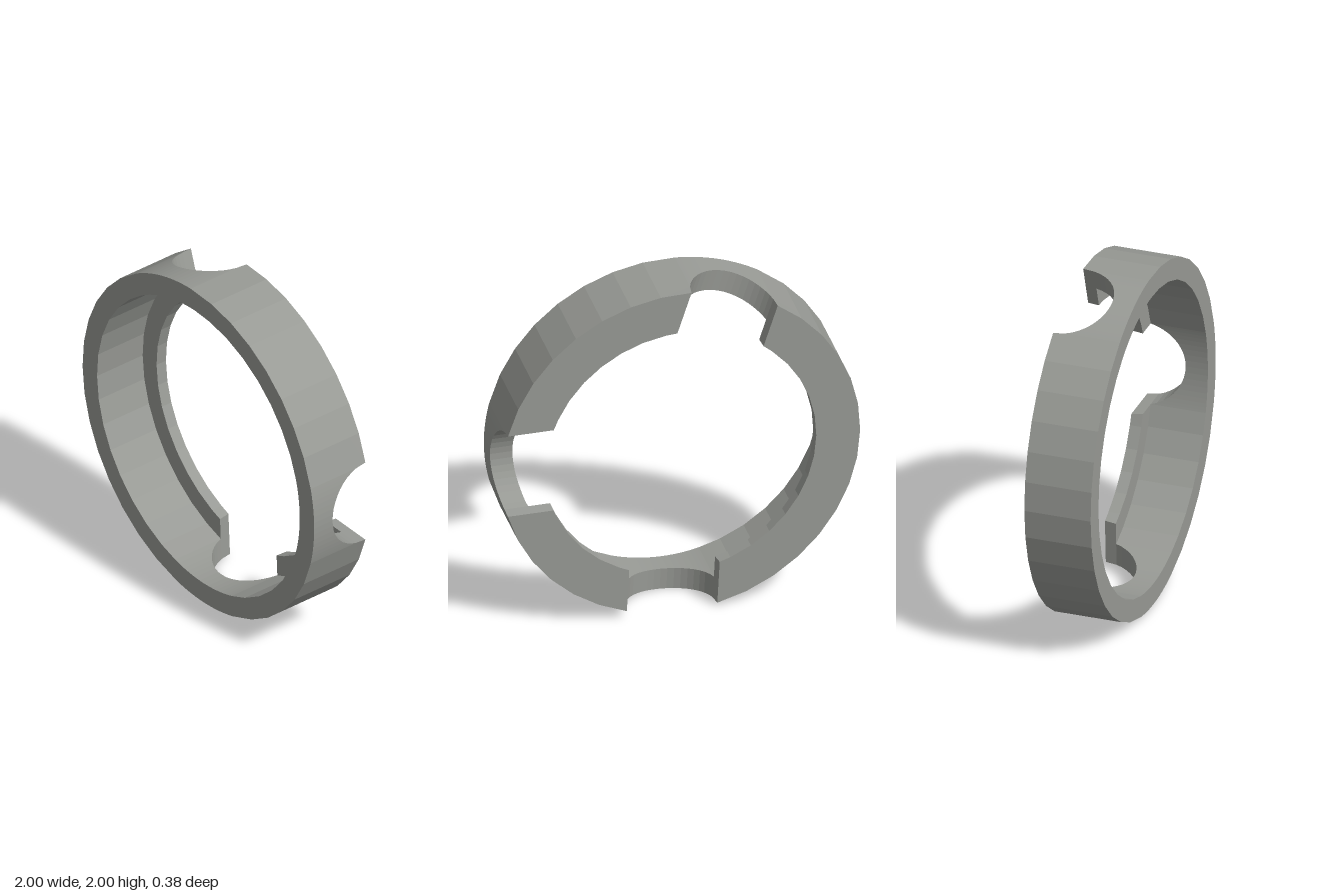
import * as THREE from 'three';

const OUTER = 1, BORE = 0.875, LIP = 0.755;        // radii
const FRONT = 0.19, STEP = -0.125, BACK = -0.19;   // depths along z
const NOTCH_R = 0.253;
const NOTCH_EDGE = Math.sqrt(NOTCH_R ** 2 - (STEP - BACK) ** 2); // half width at the step
const NOTCHES = [0, 108, 273].map(THREE.MathUtils.degToRad);

// Point on the ring at a radius, angle and depth
const polar = (r, angle, z) => [r * Math.cos(angle), r * Math.sin(angle) + 1, z];
// Point beside a notch axis, at sideways offset t
const beside = (r, axis, t, z) => polar(r, axis + Math.asin(t / r), z);

function addQuad(out, a, b, c, d) {
  out.push(...a, ...b, ...c, ...a, ...c, ...d);
}

// Skin a row of closed cross-sections
function skin(out, sections) {
  for (let s = 0; s + 1 < sections.length; s++) {
    const p = sections[s], q = sections[s + 1];
    p.forEach((_, i) => {
      const j = (i + 1) % p.length;
      addQuad(out, p[i], q[i], q[j], p[j]);
    });
  }
}

function toMesh(name, positions, material) {
  const geometry = new THREE.BufferGeometry();
  geometry.setAttribute('position', new THREE.Float32BufferAttribute(positions, 3));
  geometry.computeVertexNormals();
  const mesh = new THREE.Mesh(geometry, material);
  mesh.name = name;
  return mesh;
}

// Stepped profile: wall with an inward lip at the back
const PROFILE = [
  [OUTER, FRONT], [BORE, FRONT], [BORE, STEP], [LIP, STEP],
  [LIP, BACK], [OUTER, BACK], [OUTER, STEP],
];

// Full-depth segment between two notches
function lippedSegment(from, to, material) {
  const end = (axis, side) => PROFILE.map(([r, z]) =>
    beside(r, axis, side * (z === BACK ? NOTCH_R : NOTCH_EDGE), z));
  const half = Math.asin(NOTCH_R / OUTER);
  const start = from + half, span = to - from - 2 * half;
  const steps = Math.round(span / THREE.MathUtils.degToRad(9.8));
  const sections = [end(from, 1)];
  for (let i = 1; i < steps; i++) {
    const angle = start + span * i / steps;
    sections.push(PROFILE.map(([r, z]) => polar(r, angle, z)));
  }
  sections.push(end(to, -1));
  const out = [];
  skin(out, sections);
  // End faces of the lip
  const a = sections[0], b = sections[sections.length - 1];
  addQuad(out, a[3], a[4], a[5], a[6]);
  addQuad(out, b[6], b[5], b[4], b[3]);
  return toMesh('lippedSegment', out, material);
}

// Thin wall left in front of a round notch
function notchBridge(axis, material) {
  const steps = 18, limit = Math.acos(NOTCH_EDGE / NOTCH_R);
  const sections = [];
  for (let i = 0; i <= steps; i++) {
    const phi = Math.PI - limit - (Math.PI - 2 * limit) * i / steps;
    const t = NOTCH_R * Math.cos(phi), z = BACK + NOTCH_R * Math.sin(phi);
    sections.push([[OUTER, FRONT], [BORE, FRONT], [BORE, z], [OUTER, z]]
      .map(([r, depth]) => beside(r, axis, t, depth)));
  }
  const out = [];
  skin(out, sections);
  return toMesh('notchBridge', out, material);
}

export function createModel() {
  const gray = new THREE.MeshStandardMaterial({ color: 0x989a95, flatShading: true });
  gray.name = 'gray';
  const ring = new THREE.Group();
  ring.name = 'notchedRing';
  NOTCHES.forEach((axis, i) => {
    const next = i + 1 < NOTCHES.length ? NOTCHES[i + 1] : NOTCHES[0] + 2 * Math.PI;
    ring.add(notchBridge(axis, gray), lippedSegment(axis, next, gray));
  });
  return ring;
}
